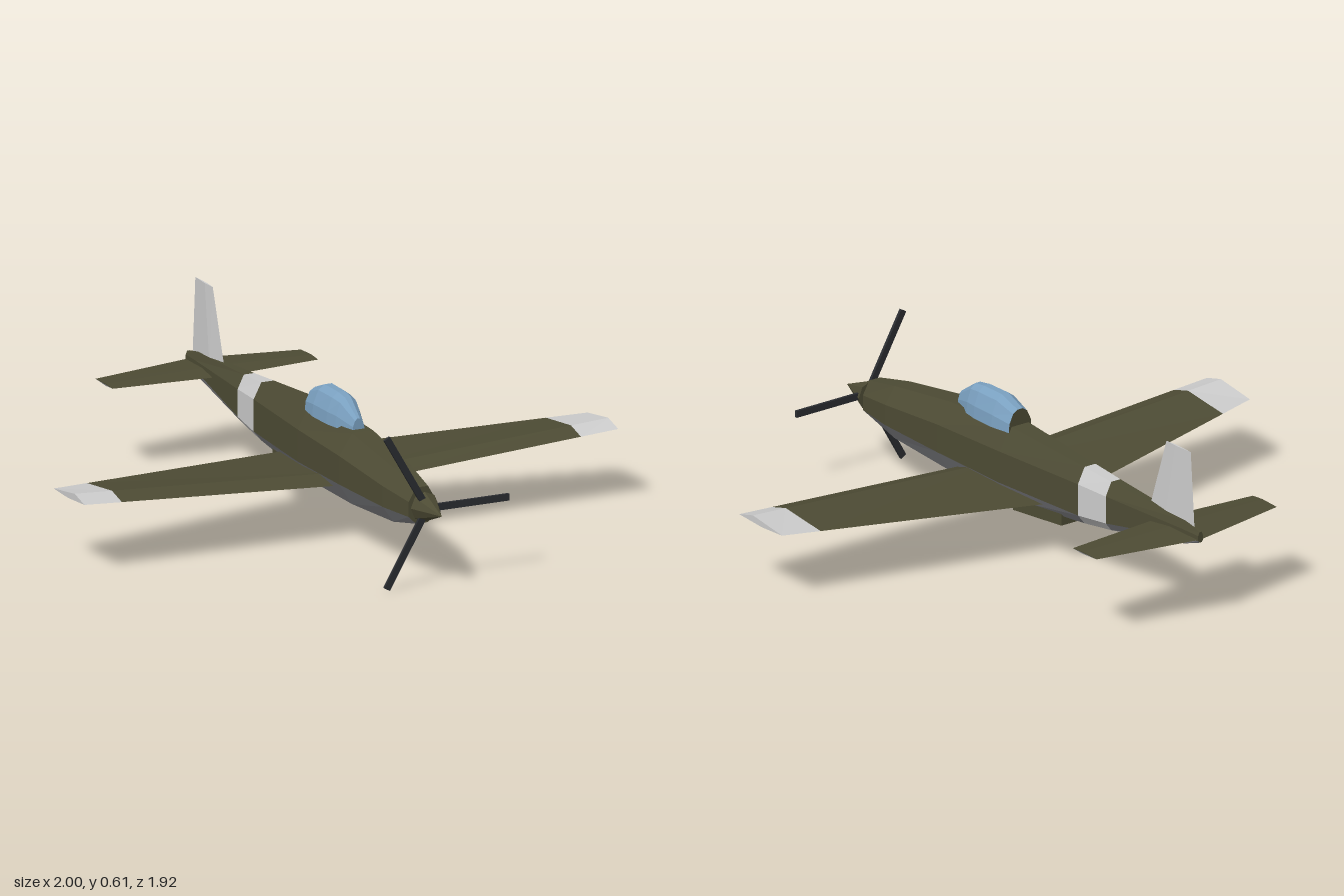
import * as THREE from 'three';

const COLORS = { olive: 0x4d4b34, underside: 0x85868a, light: 0xcccccc, glass: 0x7aa0c0, dark: 0x2a2c30 };
const mat = (key) => new THREE.MeshStandardMaterial({ color: COLORS[key], flatShading: true });

// Skins a list of equal-length rings, with end caps. paint(i, j) names the
// colour of a panel; i is -1 for the first cap and rings.length - 1 for the last.
function loft(name, rings, paint) {
  const tris = [];
  const n = rings[0].length, last = rings.length - 1;
  for (let i = 0; i < last; i++) {
    for (let j = 0; j < n; j++) {
      const k = (j + 1) % n, key = paint(i, j);
      const [a, b, c, d] = [rings[i][j], rings[i][k], rings[i + 1][k], rings[i + 1][j]];
      tris.push([key, a, c, b], [key, a, d, c]);
    }
  }
  for (const [ring, i] of [[rings[0], -1], [rings[last], last]]) {
    for (let j = 1; j < n - 1; j++) {
      const [p, q] = i < 0 ? [j, j + 1] : [j + 1, j];
      tris.push([paint(i, j), ring[0], ring[p], ring[q]]);
    }
  }
  // turn every face outward
  const volume = tris.reduce((s, [, a, b, c]) => s + new THREE.Vector3(...a)
    .dot(new THREE.Vector3(...b).cross(new THREE.Vector3(...c))), 0);
  const parts = {};
  for (const [key, a, b, c] of tris) {
    (parts[key] ??= []).push(...a, ...(volume > 0 ? b : c), ...(volume > 0 ? c : b));
  }
  const group = new THREE.Group();
  group.name = name;
  for (const key in parts) {
    const geo = new THREE.BufferGeometry();
    geo.setAttribute('position', new THREE.Float32BufferAttribute(parts[key], 3));
    geo.computeVertexNormals();
    const mesh = new THREE.Mesh(geo, mat(key));
    mesh.name = `${name}_${key}`;
    group.add(mesh);
  }
  return group;
}

// Octagonal fuselage with a grey belly and a light band ahead of the tail
function fuselage() {
  // z, bottom, lower shoulder, upper shoulder, top, half width
  const stations = [
    [0.81, 0.21, 0.237, 0.29, 0.337, 0.05],
    [0.66, 0.178, 0.235, 0.308, 0.367, 0.073],
    [0.36, 0.16, 0.235, 0.335, 0.408, 0.088],
    [0.03, 0.156, 0.225, 0.338, 0.42, 0.08],
    [-0.36, 0.187, 0.222, 0.335, 0.391, 0.052],
    [-0.5, 0.205, 0.235, 0.332, 0.38, 0.043],
    [-0.88, 0.273, 0.295, 0.328, 0.356, 0.016],
    [-0.96, 0.3, 0.307, 0.325, 0.338, 0.01],
  ];
  const rings = stations.map(([z, b, lo, up, t, w]) => [
    [w * 0.45, b, z], [w, lo, z], [w, up, z], [w * 0.45, t, z],
    [-w * 0.45, t, z], [-w, up, z], [-w, lo, z], [-w * 0.45, b, z],
  ]);
  return loft('fuselage', rings, (i, j) => {
    if (i === 4) return 'light';
    return i >= 0 && i < 7 && [0, 6, 7].includes(j) ? 'underside' : 'olive';
  });
}

// Wing half, diamond section: leading edge, crest, trailing edge, keel
function wing(side) {
  const root = [[0.2, 0.275], [0.224, 0.2], [0.2, -0.18], [0.172, 0.15]];
  const tip = [[0.262, 0.275], [0.281, 0.2], [0.257, 0.042], [0.253, 0.15]];
  const rings = [0, 0.86, 1].map((x) => root.map(([y, z], k) =>
    [side * x, y + (tip[k][0] - y) * x, z + (tip[k][1] - z) * x]));
  return loft(side > 0 ? 'leftWing' : 'rightWing', rings,
    (i, j) => (i >= 1 ? 'light' : j < 2 ? 'olive' : 'underside'));
}

// Horizontal tail half
function tailplane(side) {
  const section = (x, front, back, h) => [
    [side * x, 0.31, front], [side * x, 0.31 + h, front * 0.6 + back * 0.4],
    [side * x, 0.31, back], [side * x, 0.31 - h, front * 0.6 + back * 0.4],
  ];
  return loft(side > 0 ? 'leftTailplane' : 'rightTailplane',
    [section(0, -0.72, -0.96, 0.009), section(0.385, -0.755, -0.885, 0.004)],
    (i, j) => (j < 2 ? 'olive' : 'underside'));
}

function fin() {
  const section = (y, front, back, w) => {
    const mid = front * 0.6 + back * 0.4;
    return [[0, y, front], [w, y, mid], [0, y, back], [-w, y, mid]];
  };
  return loft('fin', [section(0.33, -0.68, -0.928, 0.01), section(0.61, -0.775, -0.907, 0.004)],
    () => 'light');
}

// Faceted glass canopy, closed by a solid panel at the back
function canopy() {
  const stations = [[0.33, 0.022, 0.447], [0.25, 0.048, 0.5], [0.2, 0.057, 0.507],
    [0.1, 0.06, 0.507], [0.02, 0.048, 0.476]]; // z, half width, top
  const profile = [[1, 0], [0.95, 0.4], [0.62, 0.84], [0.22, 1]];
  const rings = stations.map(([z, w, top]) => {
    const half = profile.map(([u, v]) => [u * w, 0.4 + v * (top - 0.4), z]);
    return [...half, ...half.map(([x, y]) => [-x, y, z]).reverse()];
  });
  return loft('canopy', rings, (i) => (i === 4 ? 'olive' : 'glass'));
}

// Cooling scoop under the belly
function scoop() {
  const box = (z, w, low, high) => [[w, low, z], [w, high, z], [-w, high, z], [-w, low, z]];
  return loft('bellyScoop', [box(0, 0.045, 0.128, 0.19), box(-0.25, 0.036, 0.147, 0.19)], () => 'olive');
}

// Spinner cone and three blades
function propeller() {
  const group = new THREE.Group();
  group.name = 'propeller';
  group.position.set(0, 0.272, 0.85);
  const cone = new THREE.Mesh(new THREE.ConeGeometry(0.052, 0.13, 8).rotateX(Math.PI / 2), mat('olive'));
  cone.name = 'spinner';
  cone.position.z = 0.045;
  group.add(cone);
  for (let k = 0; k < 3; k++) {
    const blade = new THREE.Mesh(new THREE.BoxGeometry(0.305, 0.024, 0.01).translate(0.1525, 0, 0), mat('dark'));
    blade.name = 'blade';
    blade.rotation.z = (k * Math.PI * 2) / 3;
    group.add(blade);
  }
  return group;
}

export function createModel() {
  const model = new THREE.Group();
  model.name = 'airplane';
  model.add(fuselage(), canopy(), scoop(), fin(), propeller());
  for (const side of [1, -1]) model.add(wing(side), tailplane(side));
  return model;
}
